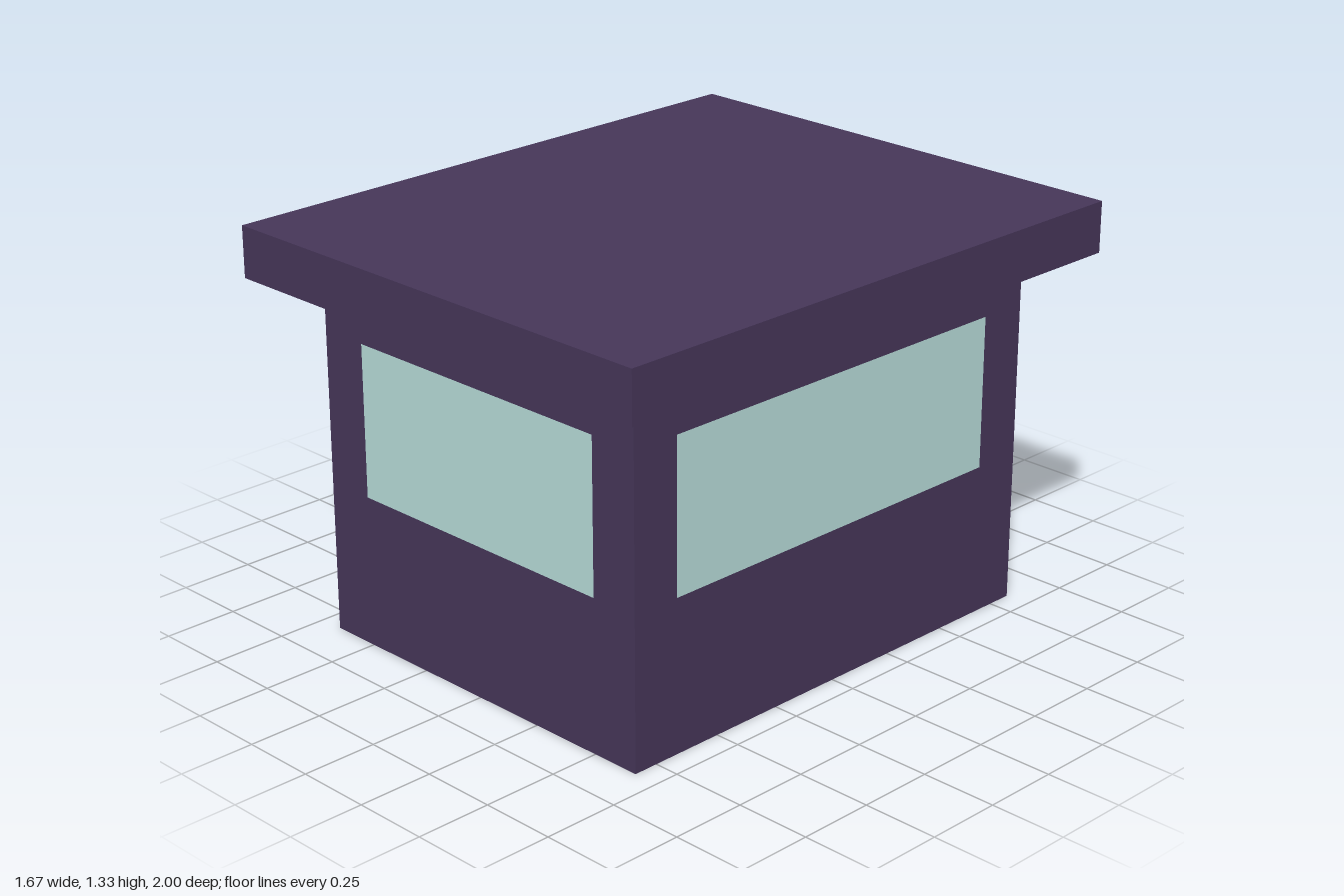
import * as THREE from 'three';

const U = 1 / 6; // the whole hut sits on a grid of sixths

export function createModel() {
  const model = new THREE.Group();
  model.name = 'hut';
  const wall = new THREE.MeshStandardMaterial({ color: 0x463659 });
  const glass = new THREE.MeshStandardMaterial({ color: 0xb7dcd9 });
  const door = new THREE.MeshStandardMaterial({ color: 0x858585 });
  const black = new THREE.MeshStandardMaterial({ color: 0x1a1a1a });

  // Box between two grid corners
  function block(name, material, [x0, y0, z0], [x1, y1, z1], parent = model) {
    const geometry = new THREE.BoxGeometry((x1 - x0) * U, (y1 - y0) * U, (z1 - z0) * U);
    const mesh = new THREE.Mesh(geometry, material);
    mesh.position.set((x0 + x1) / 2 * U, (y0 + y1) / 2 * U, (z0 + z1) / 2 * U);
    mesh.name = name;
    parent.add(mesh);
  }

  // Overhanging flat roof
  block('roof', wall, [-5, 7, -6], [5, 8, 6]);

  // Corner posts
  for (const x of [-4, 3])
    for (const z of [-5, 4]) block('cornerPost', wall, [x, 0, z], [x + 1, 7, z + 1]);

  // Front and back walls with one wide window each
  for (const [side, z] of [['front', 4], ['back', -5]]) {
    block(side + 'Sill', wall, [-3, 0, z], [3, 3, z + 1]);
    block(side + 'Window', glass, [-3, 3, z], [3, 6, z + 1]);
    block(side + 'Lintel', wall, [-3, 6, z], [3, 7, z + 1]);
  }

  // Left wall with a full window
  block('leftSill', wall, [3, 0, -4], [4, 3, 4]);
  block('leftWindow', glass, [3, 3, -4], [4, 6, 4]);
  block('leftLintel', wall, [3, 6, -4], [4, 7, 4]);

  // Right wall: window on either side of the door
  for (const [z0, z1] of [[-4, -1], [2, 4]]) {
    block('rightSill', wall, [-4, 0, z0], [-3, 3, z1]);
    block('rightWindow', glass, [-4, 3, z0], [-3, 6, z1]);
  }
  block('rightLintel', wall, [-4, 6, -4], [-3, 7, 4]);
  block('doorHeader', wall, [-4, 5, -1], [-3, 6, 2]);

  // Door, fitted around a flush handle
  const doorGroup = new THREE.Group();
  doorGroup.name = 'door';
  model.add(doorGroup);
  block('doorLower', door, [-4, 0, -1], [-3, 2, 2], doorGroup);
  block('doorMiddle', door, [-4, 2, -1], [-3, 3, 1], doorGroup);
  block('doorUpper', door, [-4, 3, -1], [-3, 5, 2], doorGroup);
  block('doorHandle', black, [-4, 2, 1], [-3, 3, 2], doorGroup);

  return model;
}
